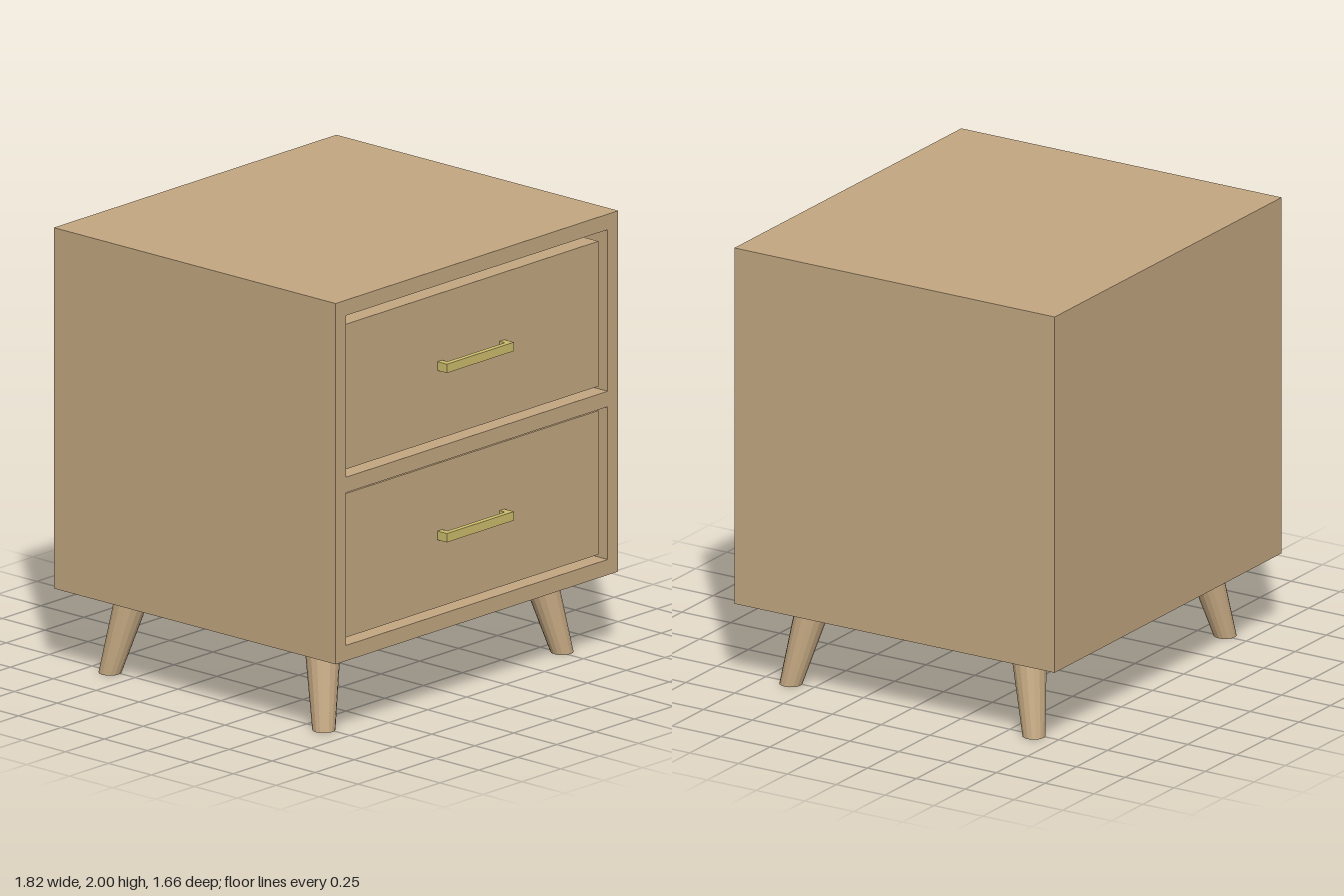
import * as THREE from 'three';

const wood = new THREE.MeshStandardMaterial({ color: 0xc4a882 });
const legWood = new THREE.MeshStandardMaterial({ color: 0xc4a882, flatShading: true });
const brass = new THREE.MeshStandardMaterial({ color: 0xcdbd6c });

const FRONT = 0.81, BACK = -0.83, PANEL = 0.02;
const DRAWER_FACE = 0.775, MID_Z = -0.01;

// Box given by its limits on each axis
function box(name, material, [x0, x1], [y0, y1], [z0, z1]) {
  const mesh = new THREE.Mesh(new THREE.BoxGeometry(x1 - x0, y1 - y0, z1 - z0), material);
  mesh.position.set((x0 + x1) / 2, (y0 + y1) / 2, (z0 + z1) / 2);
  mesh.name = name;
  return mesh;
}

function rect(path, x, y0, y1) {
  path.moveTo(-x, y0);
  path.lineTo(x, y0);
  path.lineTo(x, y1);
  path.lineTo(-x, y1);
  path.closePath();
  return path;
}

// Bar with a short post at each end
function createHandle(y) {
  const handle = new THREE.Group();
  handle.name = 'handle';
  const ySpan = [y - 0.02, y + 0.02];
  handle.add(box('handleBar', brass, [-0.215, 0.215], ySpan, [0.805, 0.83]));
  for (const x of [-0.2, 0.2])
    handle.add(box('handlePost', brass, [x - 0.015, x + 0.015], ySpan, [DRAWER_FACE, 0.805]));
  return handle;
}

// Tapered leg, sheared outward so both ends stay level
function createLeg(sx, sz) {
  const height = 0.37;
  const geometry = new THREE.CylinderGeometry(0.08, 0.05, height, 16);
  geometry.translate(0, height / 2, 0);
  const p = geometry.attributes.position;
  for (let i = 0; i < p.count; i++) {
    const splay = 0.075 * (1 - p.getY(i) / height);
    p.setX(i, p.getX(i) + sx * splay);
    p.setZ(i, p.getZ(i) + sz * splay);
  }
  geometry.computeVertexNormals();
  const leg = new THREE.Mesh(geometry, legWood);
  leg.position.set(sx * 0.69, 0, MID_Z + sz * 0.547);
  leg.name = (sz > 0 ? 'front' : 'back') + (sx > 0 ? 'Left' : 'Right') + 'Leg';
  return leg;
}

export function createModel() {
  const model = new THREE.Group();
  model.name = 'nightstand';

  const drawers = [
    { name: 'upperDrawer', opening: [1.2, 1.93], face: [1.22, 1.875], handleY: 1.55 },
    { name: 'lowerDrawer', opening: [0.44, 1.13], face: [0.46, 1.11], handleY: 0.785 },
  ];

  // Cabinet frame with two drawer openings
  const outline = rect(new THREE.Shape(), 0.908, 0.37, 2);
  for (const d of drawers) outline.holes.push(rect(new THREE.Path(), 0.84, ...d.opening));
  const cabinet = new THREE.Mesh(
    new THREE.ExtrudeGeometry(outline, { depth: FRONT - BACK - PANEL, bevelEnabled: false }), wood);
  cabinet.position.z = BACK + PANEL;
  cabinet.name = 'cabinet';
  model.add(cabinet);

  model.add(box('backPanel', wood, [-0.908, 0.908], [0.37, 2], [BACK, BACK + PANEL]));

  // Recessed drawers with their handles
  for (const d of drawers) {
    const drawer = new THREE.Group();
    drawer.name = d.name;
    drawer.add(box('drawerBox', wood, [-0.82, 0.82], d.face, [-0.75, DRAWER_FACE]));
    drawer.add(createHandle(d.handleY));
    model.add(drawer);
  }

  // Splayed legs
  for (const sx of [-1, 1]) for (const sz of [-1, 1]) model.add(createLeg(sx, sz));

  return model;
}
